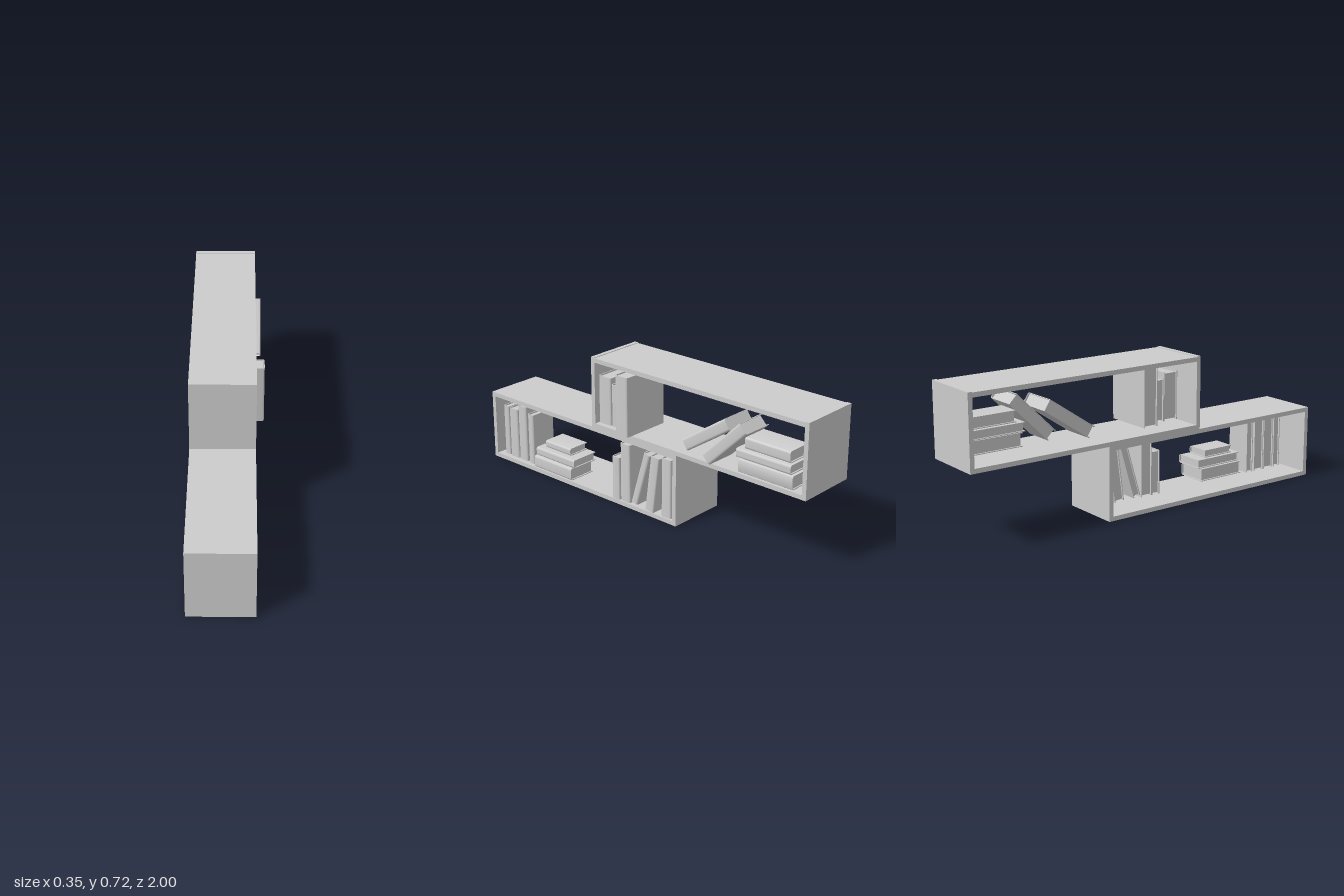
import * as THREE from 'three';
import { toCreasedNormals } from 'three/addons/utils/BufferGeometryUtils.js';

const material = new THREE.MeshStandardMaterial({ color: 0xcccccc });
const X0 = -0.175, X1 = 0.135; // shelf depth range
const T = 0.022;               // board thickness

function box(name, sx, sy, sz, x, y, z) {
  const mesh = new THREE.Mesh(new THREE.BoxGeometry(sx, sy, sz), material);
  mesh.name = name;
  mesh.position.set(x, y, z);
  return mesh;
}

// Long box open on both x sides
function makeShelf(name, z0, z1, y0, y1, topDrop) {
  const g = new THREE.Group();
  g.name = name;
  const d = X1 - X0, x = (X0 + X1) / 2, y = (y0 + y1) / 2, z = (z0 + z1) / 2;
  const inner = z1 - z0 - 2 * T;
  g.add(
    box('frontEndPanel', d, y1 - y0, T, x, y, z1 - T / 2),
    box('backEndPanel', d, y1 - y0, T, x, y, z0 + T / 2),
    box('bottomBoard', d, T, inner, x, y0 + T / 2, z),
    box('topBoard', d, T, inner, x, y1 - topDrop - T / 2, z)
  );
  return g;
}

// Hard cover with a rounded spine on +x, wrapped around a recessed page block
function makeBook(name, [z, y, thick, height, x0, x1, lean]) {
  const g = new THREE.Group();
  g.name = name;
  const c = 0.004, h = thick / 2, r = Math.min(0.012, h * 0.6), i = h - c;
  const s = new THREE.Shape();
  s.moveTo(x0, -h);
  s.lineTo(x1 - r, -h);
  s.quadraticCurveTo(x1, -h, x1, -h + r);
  s.lineTo(x1, h - r);
  s.quadraticCurveTo(x1, h, x1 - r, h);
  s.lineTo(x0, h);
  s.lineTo(x0, i);
  s.lineTo(x1 - r, i);
  s.quadraticCurveTo(x1 - c, i, x1 - c, h - r);
  s.lineTo(x1 - c, -h + r);
  s.quadraticCurveTo(x1 - c, -i, x1 - r, -i);
  s.lineTo(x0, -i);
  s.closePath();
  const geo = new THREE.ExtrudeGeometry(s, { depth: height, bevelEnabled: false, curveSegments: 5 });
  geo.translate(0, 0, -height / 2).rotateX(-Math.PI / 2);
  const cover = new THREE.Mesh(toCreasedNormals(geo, 0.6), material);
  cover.name = 'cover';

  const px0 = x0 + 0.008, px1 = x1 - r * 0.6;
  g.add(cover, box('pages', px1 - px0, height - 0.014, 2 * i, (px0 + px1) / 2, 0, 0));
  g.position.set(0, y, z);
  g.rotation.x = -THREE.MathUtils.degToRad(lean);
  return g;
}

// Each book: z centre, y centre, thickness, height, back x, spine x, lean in degrees
const books = {
  lowerUprightBook: [
    [0.925, 0.160, 0.040, 0.270, -0.025, 0.112, 0],
    [0.867, 0.160, 0.062, 0.270, -0.025, 0.115, 0],
    [0.800, 0.175, 0.060, 0.300, -0.025, 0.115, 0],
    [0.737, 0.160, 0.040, 0.270, -0.025, 0.117, 0],
    [0.114, 0.136, 0.048, 0.222, -0.03, 0.138, 0],
    [0.058, 0.176, 0.062, 0.302, -0.03, 0.132, 0],
    [-0.205, 0.175, 0.060, 0.300, -0.03, 0.132, 0]
  ],
  lowerLeaningBook: [
    [-0.041, 0.174, 0.040, 0.290, -0.03, 0.130, 16.5],
    [-0.125, 0.175, 0.054, 0.292, -0.03, 0.142, 7.5]
  ],
  lowerStackedBook: [
    [0.552, 0.061, 0.064, 0.265, -0.015, 0.142, 90],
    [0.535, 0.121, 0.044, 0.270, -0.015, 0.140, 90],
    [0.537, 0.166, 0.038, 0.175, -0.005, 0.115, 90]
  ],
  upperUprightBook: [
    [0.205, 0.508, 0.080, 0.242, -0.03, 0.112, 0],
    [0.140, 0.494, 0.046, 0.212, -0.03, 0.110, 0],
    [0.041, 0.537, 0.078, 0.298, -0.085, 0.173, 0]
  ],
  upperLeaningBook: [
    [-0.418, 0.498, 0.060, 0.295, -0.075, 0.105, 56],
    [-0.570, 0.513, 0.060, 0.288, 0.0, 0.163, 45.5]
  ],
  upperStackedBook: [
    [-0.782, 0.424, 0.066, 0.295, -0.015, 0.137, 90],
    [-0.768, 0.481, 0.044, 0.297, -0.015, 0.137, 90],
    [-0.782, 0.534, 0.056, 0.245, -0.005, 0.125, 90]
  ]
};

export function createModel() {
  const model = new THREE.Group();
  model.name = 'steppedBookshelf';
  model.add(
    makeShelf('lowerShelf', -0.27, 1, 0, 0.363, 0),
    makeShelf('upperShelf', -1, 0.27, 0.363, 0.722, 0.003)
  );
  for (const [name, list] of Object.entries(books)) {
    list.forEach((spec, n) => model.add(makeBook(`${name}${n + 1}`, spec)));
  }
  return model;
}
